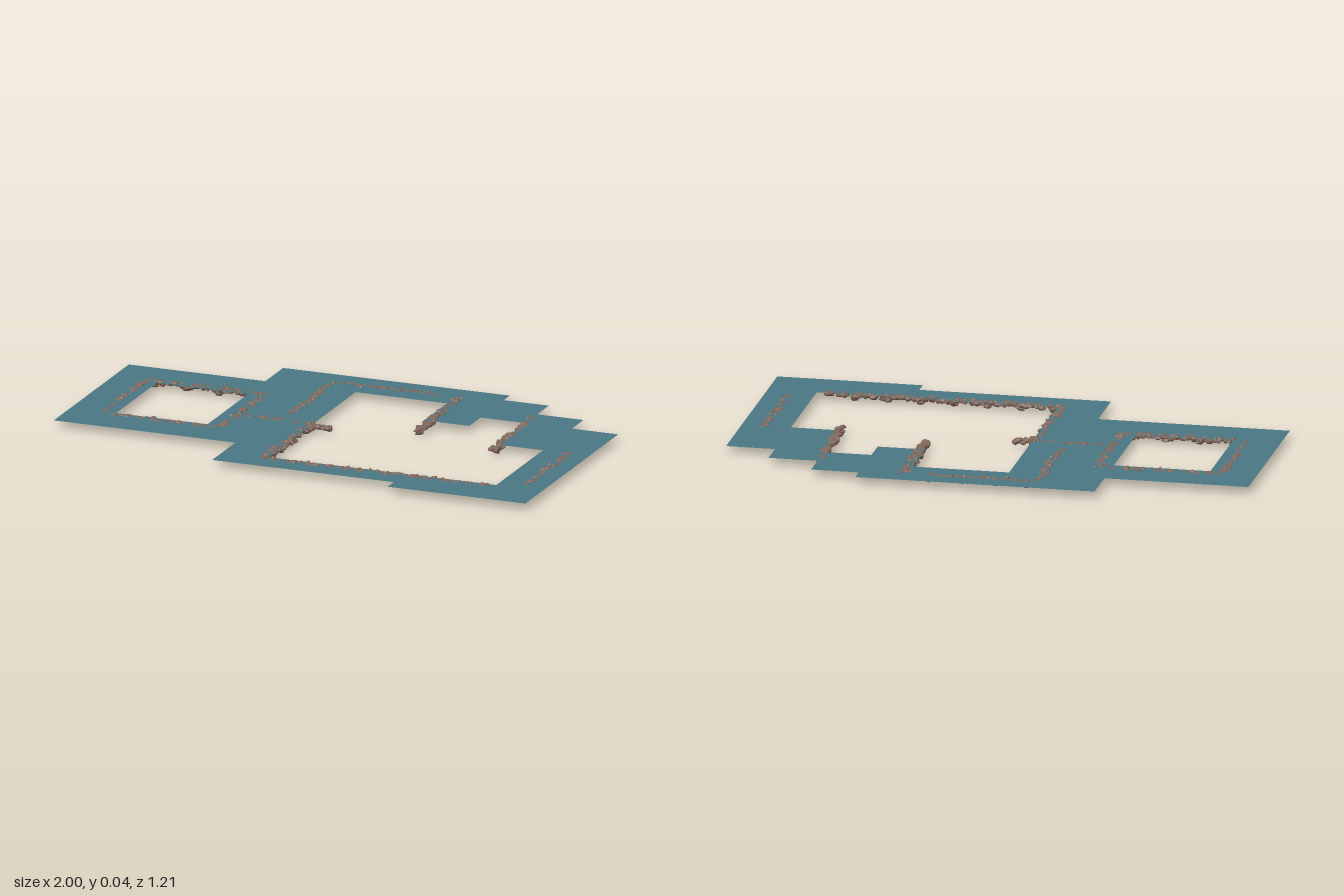
import * as THREE from 'three';
import { mergeGeometries } from 'three/addons/utils/BufferGeometryUtils.js';

const SHEET_Y = 0.028;

function createRandom(seed) {
  return () => {
    seed = (seed * 16807) % 2147483647;
    return seed / 2147483647;
  };
}

// Plan points are [x, z]; the shape is drawn in x, -z and laid flat
const toPlan = (points) => points.map(([x, z]) => new THREE.Vector2(x, -z));

// One faceted, squashed stone with uneven corners
function stone(random, x, y, z, length, height, width) {
  const geometry = new THREE.IcosahedronGeometry(1, 0);
  const position = geometry.attributes.position;
  const phase = random() * 100;
  const v = new THREE.Vector3();
  for (let i = 0; i < position.count; i++) {
    v.fromBufferAttribute(position, i);
    const lump = 0.97 + 0.17 * Math.sin(phase + v.x * 5.1 + v.y * 7.3 + v.z * 9.7);
    v.multiplyScalar(lump);
    position.setXYZ(i, v.x, v.y, v.z);
  }
  geometry.rotateZ(random() * 6);
  geometry.rotateX(random() * 6);
  geometry.scale(length, height, width);
  geometry.rotateY(random() * 6);
  geometry.translate(x, y, z);
  for (let i = 0; i < position.count; i++) {
    position.setY(i, THREE.MathUtils.clamp(position.getY(i), 0, 0.038));
  }
  geometry.computeVertexNormals();
  return geometry;
}

// A tumbled row of stones from one plan point to another
function stoneRow(random, [x0, z0], [x1, z1], size) {
  const count = Math.round(Math.hypot(x1 - x0, z1 - z0) / 0.021);
  const stones = [];
  const jitter = (amount) => (random() - 0.5) * amount;
  for (let i = 0; i <= count; i++) {
    const t = i / count;
    const x = x0 + (x1 - x0) * t;
    const z = z0 + (z1 - z0) * t;
    const r = (0.014 + random() * 0.007) * size;
    stones.push(stone(random, x + jitter(0.016), 0.021 + jitter(0.007), z + jitter(0.016), r, 0.012, r * 0.85));
    // Small rubble beside the row
    const s = 0.008 + random() * 0.006;
    stones.push(stone(random, x + jitter(0.04), 0.023 + jitter(0.01), z + jitter(0.04), s, 0.009, s));
    // Occasional foot stone touching the ground
    if (i % 6 === 1) stones.push(stone(random, x, 0.01, z, 0.02, 0.011, 0.017));
  }
  return mergeGeometries(stones);
}

export function createModel() {
  const model = new THREE.Group();
  const teal = new THREE.MeshStandardMaterial({ color: 0x4a7782, side: THREE.DoubleSide });
  teal.name = 'teal';
  const brownStone = new THREE.MeshStandardMaterial({ color: 0x80665a, flatShading: true });
  brownStone.name = 'brown stone';

  // Thin stepped sheet with two openings
  const outline = new THREE.Shape(toPlan([
    [-1, -0.43], [-0.455, -0.43], [-0.455, -0.605], [0.45, -0.605],
    [0.45, -0.545], [0.63, -0.545], [0.63, -0.43], [0.815, -0.43],
    [0.815, -0.315], [1, -0.315], [1, 0.6], [0.45, 0.6],
    [0.45, 0.54], [-0.275, 0.54], [-0.275, 0.31], [-1, 0.31],
  ]));
  outline.holes.push(
    new THREE.Path(toPlan([[-0.82, -0.26], [-0.455, -0.26], [-0.455, 0.14], [-0.82, 0.14]])),
    new THREE.Path(toPlan([
      [-0.095, -0.43], [0.27, -0.43], [0.27, -0.205], [0.45, -0.205],
      [0.45, -0.315], [0.63, -0.315], [0.63, -0.03], [0.815, -0.03],
      [0.815, 0.43], [-0.095, 0.43],
    ])),
  );
  const sheet = new THREE.Mesh(new THREE.ShapeGeometry(outline).rotateX(-Math.PI / 2), teal);
  sheet.position.y = SHEET_Y;
  sheet.name = 'groundSheet';
  model.add(sheet);

  // Ruined wall footings: name, start, end, stone size
  const rows = [
    ['smallRoomBackWall', [-0.86, -0.29], [-0.41, -0.285], 1],
    ['smallRoomRightWall', [-0.87, -0.27], [-0.865, 0.14], 1],
    ['smallRoomFrontWall', [-0.84, 0.16], [-0.41, 0.16], 1],
    ['smallRoomLeftWall', [-0.4, -0.27], [-0.4, 0.14], 1],
    ['linkWall', [-0.38, -0.015], [-0.02, -0.005], 1],
    ['hallRightWall', [-0.105, 0.01], [-0.11, 0.43], 1],
    ['hallFrontWall', [-0.1, 0.445], [0.76, 0.445], 1],
    ['backRoomRightWall', [-0.22, -0.51], [-0.22, -0.1], 1],
    ['backRoomBackWall', [-0.2, -0.52], [0.21, -0.515], 1],
    ['backRoomLeftWall', [0.285, -0.5], [0.29, -0.09], 1.15],
    ['middleDividerWall', [0.63, -0.4], [0.635, 0.01], 1.15],
    ['hallLeftWall', [0.915, -0.04], [0.92, 0.37], 1],
  ];
  rows.forEach(([name, start, end, size], i) => {
    const row = new THREE.Mesh(stoneRow(createRandom(1237 + i * 911), start, end, size), brownStone);
    row.name = name;
    model.add(row);
  });
  return model;
}
